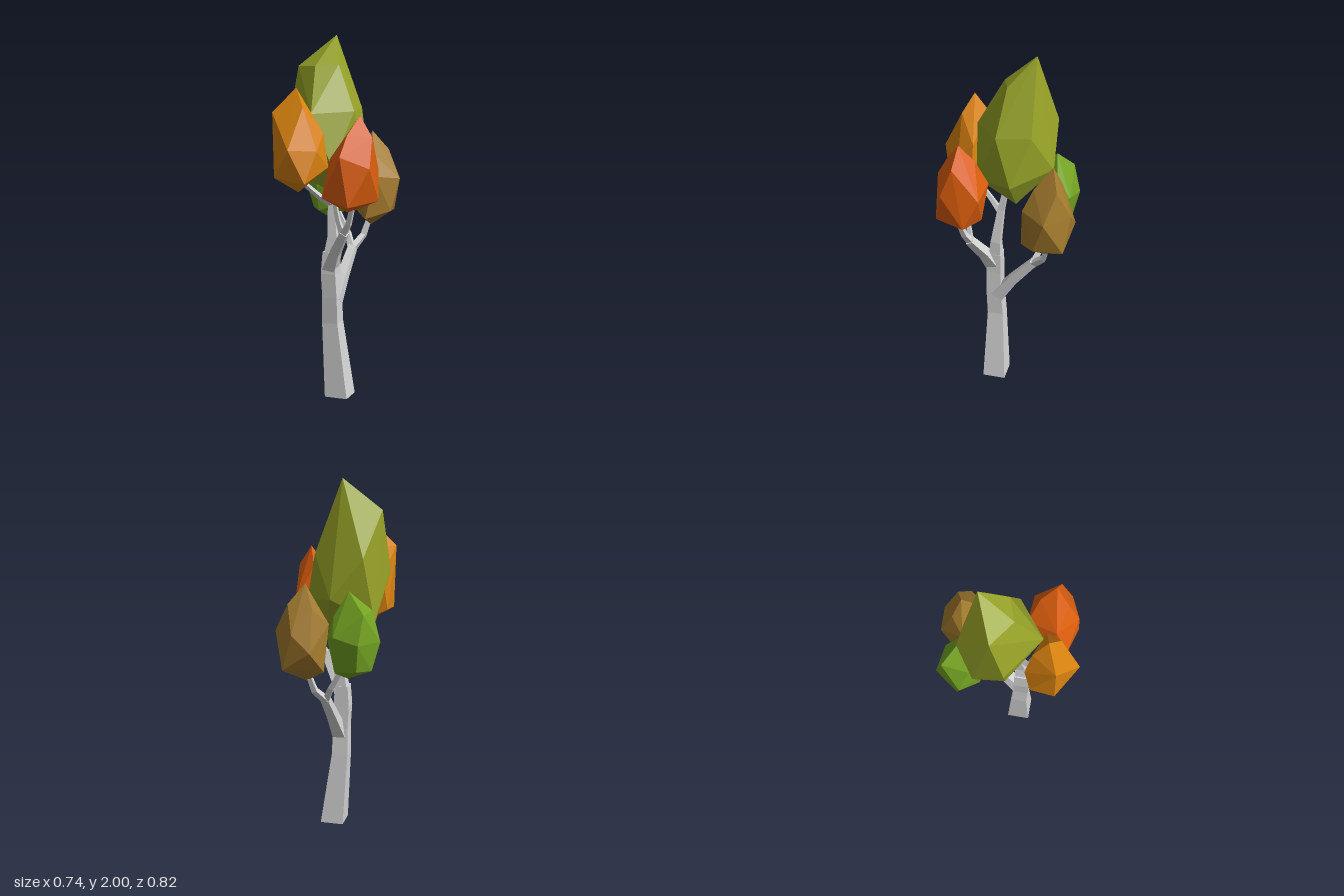
import * as THREE from 'three';
import { ConvexGeometry } from 'three/addons/geometries/ConvexGeometry.js';

const paint = (name, color) => {
  const m = new THREE.MeshStandardMaterial({ color });
  m.name = name;
  return m;
};

// Faceted limb: square rings along a path of [x, y, z, radius]
function limbGeometry(path, phase = 1.92) {
  const sides = 4, pos = [], idx = [];
  const centres = path.map(p => new THREE.Vector3(p[0], p[1], p[2]));
  const up = new THREE.Vector3(0, 1, 0);
  const last = path.length - 1;
  centres.forEach((c, i) => {
    const dir = centres[Math.min(i + 1, last)].clone().sub(centres[Math.max(i - 1, 0)]).normalize();
    if (c.y < 0.05) dir.copy(up); // level foot
    const q = new THREE.Quaternion().setFromUnitVectors(up, dir);
    for (let s = 0; s < sides; s++) {
      const a = phase - (s / sides) * Math.PI * 2;
      const v = new THREE.Vector3(Math.cos(a), 0, Math.sin(a)).multiplyScalar(path[i][3]);
      v.applyQuaternion(q).add(c);
      pos.push(v.x, v.y, v.z);
    }
  });
  for (let i = 0; i < last; i++) {
    for (let s = 0; s < sides; s++) {
      const a = i * sides + s, b = i * sides + (s + 1) % sides;
      idx.push(a, b, b + sides, a, b + sides, a + sides);
    }
  }
  const t = last * sides;
  idx.push(0, 2, 1, 0, 3, 2, t, t + 1, t + 2, t, t + 2, t + 3); // end caps
  const indexed = new THREE.BufferGeometry();
  indexed.setAttribute('position', new THREE.Float32BufferAttribute(pos, 3));
  indexed.setIndex(idx);
  const g = indexed.toNonIndexed();
  g.computeVertexNormals();
  return g;
}

// Trunk and branches
const limbs = {
  trunk: [[0.04, 0, 0.04, 0.092], [0.005, 0.42, 0.062, 0.064], [0.01, 0.57, 0.07, 0.06],
    [0.004, 0.7, 0.075, 0.06], [0.005, 0.82, 0.07, 0.054]],
  mainStem: [[0.005, 0.78, 0.07, 0.052], [0.012, 0.9, 0.06, 0.038], [-0.015, 1.1, 0.045, 0.026], [-0.03, 1.24, 0.02, 0.02]],
  frontTwig: [[-0.015, 1.08, 0.05, 0.022], [-0.03, 1.13, 0.13, 0.017], [-0.035, 1.22, 0.25, 0.014]],
  leftBranch: [[0.005, 0.72, 0.08, 0.05], [0.07, 0.83, 0.1, 0.038], [0.165, 0.95, 0.125, 0.03]],
  leftInnerTwig: [[0.155, 0.93, 0.125, 0.022], [0.14, 1.02, 0.15, 0.016], [0.13, 1.16, 0.175, 0.013]],
  leftOuterTwig: [[0.155, 0.94, 0.125, 0.026], [0.2, 1.0, 0.13, 0.02], [0.25, 1.13, 0.14, 0.015]],
  backBranch: [[0.01, 0.54, 0.05, 0.05], [-0.015, 0.67, -0.04, 0.038], [-0.055, 0.81, -0.155, 0.03]],
  rightTwig: [[-0.05, 0.79, -0.145, 0.026], [-0.105, 0.88, -0.165, 0.021], [-0.2, 1.03, -0.16, 0.015]],
  backTwig: [[-0.055, 0.79, -0.14, 0.026], [-0.045, 0.87, -0.23, 0.021], [-0.03, 0.98, -0.27, 0.016]],
};

// Leaf crowns: corner points of faceted, pointed clumps
const crowns = {
  topCrown: [paint('olive leaves', 0x98a428), [
    [-0.13, 2, -0.1], [-0.27, 1.83, 0.06], [-0.1, 1.83, 0.09], [-0.01, 1.84, 0],
    [-0.01, 1.58, 0.205], [-0.27, 1.5, 0.14], [0.1, 1.59, -0.01], [0.0, 1.6, -0.17],
    [-0.29, 1.6, -0.13], [-0.14, 1.38, -0.215], [0.105, 1.33, -0.11], [0.08, 1.3, 0.14],
    [-0.3, 1.25, -0.04], [-0.2, 1.21, 0.1], [0, 1.18, -0.07], [-0.09, 1.16, 0.03]]],
  frontCrown: [paint('orange leaves', 0xdd8510), [
    [-0.06, 1.72, 0.265], [-0.14, 1.59, 0.365], [0.02, 1.62, 0.29], [-0.12, 1.6, 0.21],
    [0.03, 1.4, 0.408], [0.093, 1.39, 0.26], [-0.17, 1.45, 0.2], [0.06, 1.48, 0.18],
    [-0.177, 1.25, 0.24], [-0.13, 1.24, 0.365], [0.08, 1.22, 0.335], [0.087, 1.3, 0.17],
    [-0.03, 1.165, 0.28], [-0.08, 1.2, 0.17]]],
  leftCrown: [paint('red orange leaves', 0xe2610f), [
    [0.26, 1.58, 0.105], [0.195, 1.48, 0.05], [0.335, 1.47, 0.09], [0.25, 1.48, 0.19],
    [0.11, 1.32, 0.03], [0.265, 1.29, -0.03], [0.37, 1.31, 0.145], [0.26, 1.37, 0.255],
    [0.13, 1.35, 0.2], [0.14, 1.15, 0.27], [0.085, 1.13, 0.14], [0.306, 1.11, 0.24],
    [0.325, 1.13, 0.03], [0.21, 1.065, 0.14], [0.17, 1.12, 0.03]]],
  backCrown: [paint('brown leaves', 0xa57c2e), [
    [-0.035, 1.465, -0.29], [0.026, 1.36, -0.36], [-0.1, 1.34, -0.31], [0.04, 1.34, -0.22],
    [-0.04, 1.21, -0.41], [0.026, 1.01, -0.41], [0.124, 1.2, -0.35], [0.12, 1.02, -0.28],
    [0.093, 1.22, -0.185], [0.05, 0.98, -0.145], [-0.137, 1.25, -0.22], [-0.143, 1, -0.27],
    [-0.133, 1.12, -0.375], [-0.02, 0.93, -0.265]]],
  rightCrown: [paint('green leaves', 0x76a623), [
    [-0.23, 1.43, -0.17], [-0.35, 1.325, -0.2], [-0.3, 1.32, -0.06], [-0.17, 1.3, -0.22],
    [-0.37, 1.165, -0.08], [-0.35, 1.17, -0.245], [-0.21, 1.2, -0.28], [-0.13, 1.18, -0.23],
    [-0.14, 1.17, -0.08], [-0.22, 1.15, -0.03], [-0.345, 1.01, -0.12], [-0.32, 1.02, -0.22],
    [-0.21, 0.95, -0.15], [-0.12, 1.05, -0.15], [-0.2, 1, -0.25], [-0.23, 1.01, -0.05]]],
};

export function createModel() {
  const tree = new THREE.Group();
  tree.name = 'tree';
  const bark = paint('pale bark', 0xd6d6d6);
  const add = (name, geometry, material) => {
    const mesh = new THREE.Mesh(geometry, material);
    mesh.name = name;
    tree.add(mesh);
  };
  for (const [name, path] of Object.entries(limbs)) add(name, limbGeometry(path), bark);
  for (const [name, [leaves, points]] of Object.entries(crowns)) {
    add(name, new ConvexGeometry(points.map(p => new THREE.Vector3(...p))), leaves);
  }
  return tree;
}
